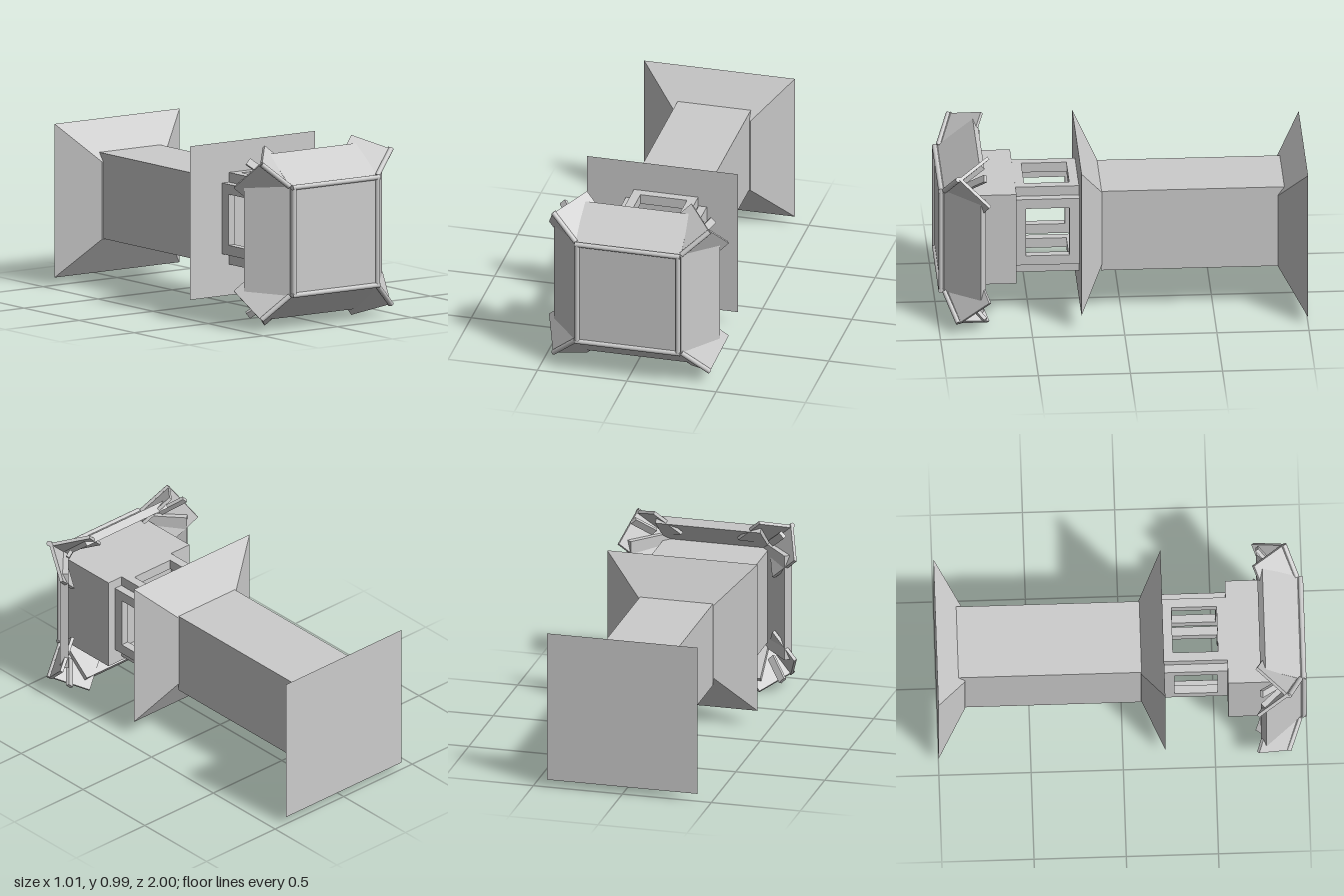
import * as THREE from 'three';

const V = (x, y, z) => new THREE.Vector3(x, y, z);
const MID = 0.5; // height of the head's axis

export function createModel() {
  const root = new THREE.Group();
  const flat = new THREE.MeshStandardMaterial({ color: 0xcccccc, flatShading: true });
  const smooth = new THREE.MeshStandardMaterial({ color: 0xcccccc });

  const add = (name, geometry, material = flat) => {
    const mesh = new THREE.Mesh(geometry, material);
    mesh.name = name;
    root.add(mesh);
    return mesh;
  };

  // Axis-aligned block given by its limits
  const block = (name, x0, x1, y0, y1, z0, z1) =>
    add(name, new THREE.BoxGeometry(x1 - x0, y1 - y0, z1 - z0))
      .position.set((x0 + x1) / 2, (y0 + y1) / 2, (z0 + z1) / 2);

  // Square frustum along z, half widths at the back and front ends
  const flare = (name, y, z0, z1, back, front) => {
    const k = Math.SQRT2;
    const g = new THREE.CylinderGeometry(front * k, back * k, z1 - z0, 4);
    g.rotateY(Math.PI / 4).rotateX(Math.PI / 2);
    add(name, g).position.set(0, y, (z0 + z1) / 2);
  };

  // Plate spanned by u and v from a corner, its thickness growing away from the front
  const plate = (name, corner, u, v, thickness) => {
    const n = u.clone().cross(v).normalize();
    const side = n.z < 0 ? 1 : -1;
    const w = v.clone().normalize();
    const mesh = add(name, new THREE.BoxGeometry(u.length(), v.length(), thickness));
    mesh.quaternion.setFromRotationMatrix(
      new THREE.Matrix4().makeBasis(u.clone().normalize(), w, n));
    mesh.position.copy(corner).addScaledVector(u, 0.5).addScaledVector(v, 0.5)
      .addScaledVector(n, side * thickness / 2);
  };

  const rod = (name, a, b, r = 0.014) => {
    const d = b.clone().sub(a);
    const mesh = add(name, new THREE.CylinderGeometry(r, r, d.length(), 16), smooth);
    mesh.quaternion.setFromUnitVectors(V(0, 1, 0), d.normalize());
    mesh.position.copy(a).add(b).multiplyScalar(0.5);
  };

  // Rectangular frame with a window, extruded along z before being turned
  const frameGeometry = (w, h, border, depth) => {
    const rect = (P, a, b) => {
      const p = new P();
      p.moveTo(-a, -b); p.lineTo(a, -b); p.lineTo(a, b); p.lineTo(-a, b); p.closePath();
      return p;
    };
    const s = rect(THREE.Shape, w / 2, h / 2);
    s.holes.push(rect(THREE.Path, w / 2 - border, h / 2 - border));
    return new THREE.ExtrudeGeometry(s, { depth, bevelEnabled: false }).translate(0, 0, -depth / 2);
  };

  // Handle with its two flared ends
  block('handle', -0.205, 0.205, 0.26, 0.73, -0.9, 0.11);
  flare('frontFlare', 0.513, 0.105, 0.23, 0.212, 0.422);
  flare('rearFlare', 0.47, -1, -0.85, 0.422, 0.212);

  // Open neck of four window frames
  const neckZ = 0.403, neckLength = 0.345;
  for (const x of [-0.182, 0.225]) {
    add('neckSideFrame', frameGeometry(neckLength, 0.39, 0.055, 0.046).rotateY(Math.PI / 2))
      .position.set(x, 0.517, neckZ);
  }
  for (const y of [0.288, 0.738]) {
    add('neckCrossFrame', frameGeometry(0.36, neckLength, 0.05, 0.055).rotateX(Math.PI / 2))
      .position.set(0.02, y, neckZ);
  }

  // Head block and front plate
  block('headBlock', -0.295, 0.295, 0.235, 0.765, 0.575, 0.95);
  block('frontPlate', -0.29, 0.29, 0.2, 0.8, 0.94, 0.985);

  // Rods round the front plate and slanted panels behind them
  for (const s of [-1, 1]) {
    const x = 0.282 * s, y = MID + 0.296 * s;
    rod('frontSideRod', V(x, 0.2, 0.985), V(x, 0.8, 0.985));
    rod('frontCrossRod', V(-0.295, y, 0.985), V(0.295, y, 0.985));
    plate('sidePanel', V(0.295 * s, 0.2, 0.968), V(0, 0.6, 0), V(0.17 * s, 0, -0.19), 0.045);
    plate('crossPanel', V(-0.295, MID + 0.3 * s, 0.968), V(0.59, 0, 0), V(0, 0.155 * s, -0.19), 0.045);
  }

  // Corners: a rod, two flaps spreading back from it, and a brace
  for (const sx of [-1, 1]) for (const sy of [-1, 1]) {
    const dir = (x, y, z) => V(x * sx, y * sy, z);
    const at = (x, y, z) => V(x * sx, MID + y * sy, z);
    const start = at(0.295, 0.3, 0.965), end = at(0.437, 0.427, 0.9);
    const along = end.clone().sub(start);
    rod('cornerRod', start, end);
    plate('cornerSideFlap', start, along, dir(0.07, -0.145, -0.165), 0.018);
    plate('cornerCrossFlap', start, along, dir(-0.145, 0.065, -0.165), 0.018);
    plate('cornerBrace', at(0.32, 0.35, 0.86), dir(0.09, 0.09, -0.1), dir(0.028, -0.028, 0), 0.02);
  }

  return root;
}
